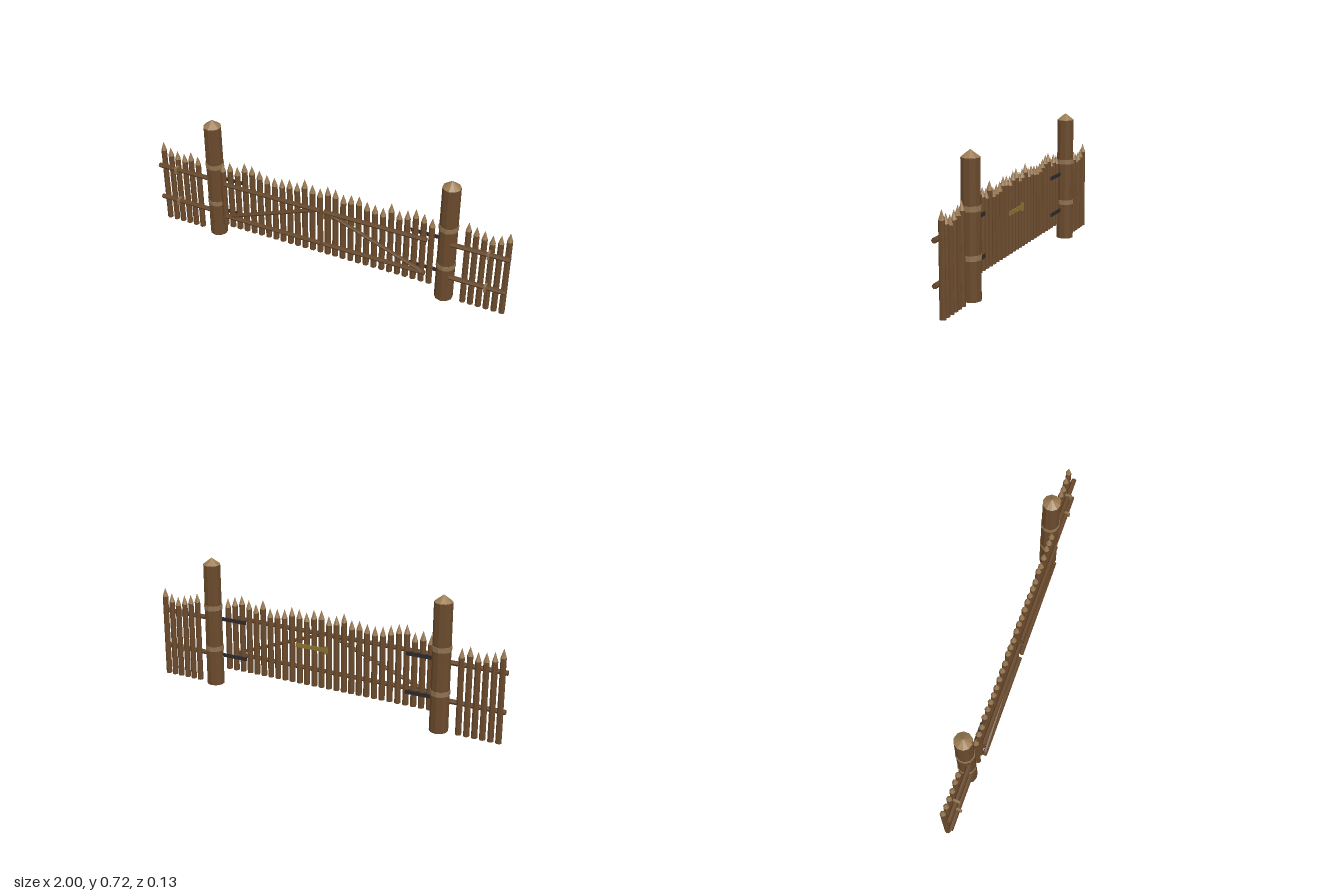
import * as THREE from 'three';

const mat = (name, color, extra = {}) => {
  const m = new THREE.MeshStandardMaterial({ color, flatShading: true, ...extra });
  m.name = name;
  return m;
};

export function createModel() {
  const root = new THREE.Group();
  root.name = 'palisadeGate';
  const bark = mat('bark', 0x6a4a2c);
  const rail = mat('railWood', 0x66472a);
  const cutWood = mat('cutWood', 0x9a7a52);
  const rope = mat('rope', 0x8e7250);
  const iron = mat('iron', 0x2c2a2a);
  const brass = mat('brass', 0x8a7430);

  const add = (parent, name, geo, material, x = 0, y = 0, z = 0) => {
    const m = new THREE.Mesh(geo, material);
    m.name = name;
    m.position.set(x, y, z);
    parent.add(m);
    return m;
  };
  const group = (name) => {
    const g = new THREE.Group();
    g.name = name;
    root.add(g);
    return g;
  };

  // Upright pole with a sharpened, paler point
  const pole = (parent, name, x, z, y0, top, r, tipH, sides, turn = 0) => {
    const h = top - tipH - y0;
    const body = new THREE.CylinderGeometry(r * 0.98, r * 1.02, h, sides).rotateY(turn);
    add(parent, name, body, bark, x, y0 + h / 2, z);
    add(parent, name + 'Tip', new THREE.ConeGeometry(r * 0.99, tipH, sides).rotateY(turn), cutWood, x, top - tipH / 2, z);
  };

  // Round bar between two points
  const bar = (parent, name, a, b, r) => {
    const d = b.clone().sub(a);
    const m = add(parent, name, new THREE.CylinderGeometry(r, r, d.length(), 6), rail);
    m.position.copy(a).add(b).multiplyScalar(0.5);
    m.quaternion.setFromUnitVectors(new THREE.Vector3(0, 1, 0), d.normalize());
  };
  const V = (x, y, z) => new THREE.Vector3(x, y, z);

  // Stake top heights, listed from -x to +x
  const fenceTops = {
    '-1': [0.5, 0.475, 0.465, 0.46, 0.48, 0.465],
    '1': [0.505, 0.49, 0.48, 0.465, 0.48, 0.505],
  };
  const gateTops = {
    '-1': [0.49, 0.505, 0.49, 0.525, 0.52, 0.505, 0.49, 0.485, 0.49, 0.5, 0.495, 0.525, 0.505, 0.495],
    '1': [0.52, 0.515, 0.495, 0.505, 0.51, 0.49, 0.485, 0.48, 0.52, 0.49, 0.505, 0.525, 0.51, 0.495],
  };

  for (const s of [-1, 1]) {
    const side = s > 0 ? 'left' : 'right';

    // Gate post with rope bands
    const post = group(side + 'Post');
    pole(post, 'post', s * 0.665, -0.012, 0, 0.722, 0.048, 0.037, 10);
    for (const y of [0.447, 0.212])
      add(post, 'postBand', new THREE.CylinderGeometry(0.051, 0.051, 0.026, 10), rope, s * 0.665, y, -0.012);

    // Fixed fence section beside the post
    const fence = group(side + 'Fence');
    const fx = s < 0 ? -0.982 : 0.768;
    fenceTops[s].forEach((t, i) =>
      pole(fence, 'fenceStake', fx + i * 0.0422, -0.012, 0, t, 0.0158, 0.05, 7, i * 1.3));
    for (const y of [0.364, 0.156]) {
      bar(fence, 'fenceRail', V(s * 0.69, y, 0.018), V(s, y, 0.018), 0.013);
      add(fence, 'railLashing', new THREE.BoxGeometry(0.011, 0.036, 0.036), rope, s * 0.89, y, 0.021);
    }

    // Gate leaf
    const leaf = group(side + 'Leaf');
    const gx = s < 0 ? -0.597 : 0.018;
    gateTops[s].forEach((t, i) =>
      pole(leaf, 'gateStake', gx + i * 0.044, 0.02, 0.088, t, 0.0162, 0.05, 7, i * 1.7));
    for (const y of [0.377, 0.167]) {
      bar(leaf, 'gateRail', V(s * 0.01, y, 0.051), V(s * 0.577, y, 0.051), 0.012);
      add(leaf, 'hingeStrap', new THREE.BoxGeometry(0.16, 0.02, 0.006), iron, s * 0.55, y, 0.002);
    }
    bar(leaf, 'gateBrace', V(s * 0.56, 0.172, 0.05), V(s * 0.03, 0.375, 0.05), 0.01);
  }

  // Latch on the back of the gate
  const latch = group('latch');
  add(latch, 'latchBar', new THREE.BoxGeometry(0.19, 0.022, 0.006), brass, 0.065, 0.31, -0.001);
  add(latch, 'latchKeeper', new THREE.BoxGeometry(0.014, 0.042, 0.01), brass, -0.018, 0.31, -0.002);
  add(latch, 'latchPin', new THREE.BoxGeometry(0.008, 0.012, 0.012), brass, 0.07, 0.31, -0.007);

  return root;
}
